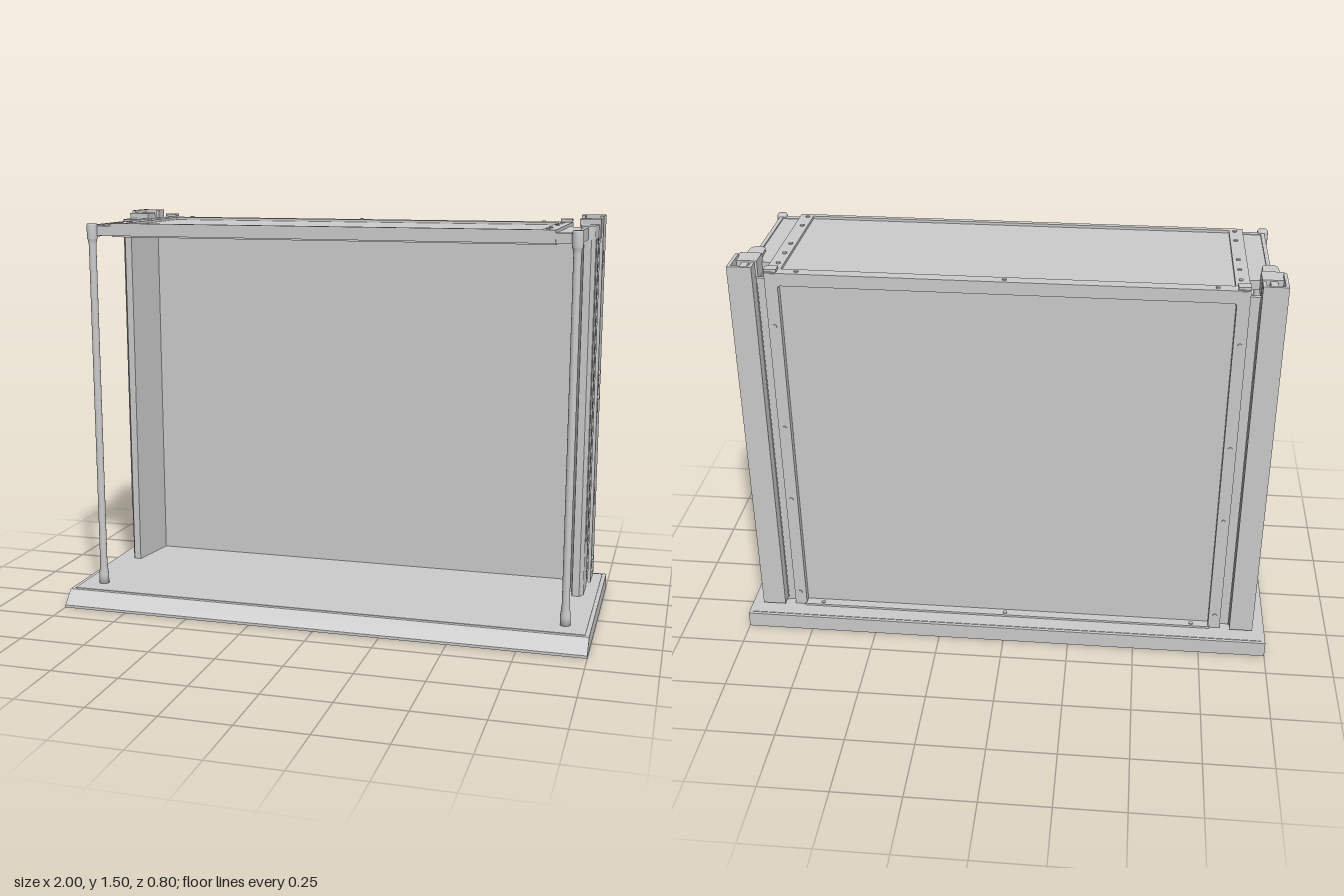
import * as THREE from 'three';

const mat = new THREE.MeshStandardMaterial({ color: 0xcccccc, side: THREE.DoubleSide });

function add(parent, name, geometry) {
  const mesh = new THREE.Mesh(geometry, mat);
  mesh.name = name;
  parent.add(mesh);
  return mesh;
}

// Box given by its minimum and maximum corners
function box(parent, name, x0, x1, y0, y1, z0, z1) {
  const mesh = add(parent, name, new THREE.BoxGeometry(x1 - x0, y1 - y0, z1 - z0));
  mesh.position.set((x0 + x1) / 2, (y0 + y1) / 2, (z0 + z1) / 2);
  return mesh;
}

// Upright prism over a plan of [x, z] points
function prism(parent, name, plan, y0, y1) {
  const shape = new THREE.Shape(plan.map(([x, z]) => new THREE.Vector2(x, -z)));
  const geo = new THREE.ExtrudeGeometry(shape, { depth: y1 - y0, bevelEnabled: false });
  geo.rotateX(-Math.PI / 2).translate(0, y0, 0);
  return add(parent, name, geo);
}

// Bolt head or pin whose axis follows x, y or z
function bolt(parent, name, x, y, z, axis, r = 0.008, length = 0.006) {
  const geo = new THREE.CylinderGeometry(r, r, length, 16);
  if (axis === 'x') geo.rotateZ(Math.PI / 2);
  if (axis === 'z') geo.rotateX(Math.PI / 2);
  add(parent, name, geo).position.set(x, y, z);
}

// Everything that stands on one side; built for +x
function buildSide(s) {
  const g = new THREE.Group();
  g.name = s > 0 ? 'leftSide' : 'rightSide';
  const X = (plan) => plan.map(([x, z]) => [x * s, z]);
  const b = (name, x0, x1, ...rest) =>
    box(g, name, Math.min(x0 * s, x1 * s), Math.max(x0 * s, x1 * s), ...rest);

  // Tapering side wall with a narrow front edge
  prism(g, 'sideWall', X([[0.895, -0.08], [0.922, -0.08], [0.936, -0.105], [0.936, -0.225],
    [0.875, -0.225], [0.875, -0.3], [0.862, -0.3]]), 0.06, 1.42);
  b('wallInsert', 0.93, 0.939, 0.27, 1.42, -0.182, -0.106);

  // Wall cap with a rounded nose
  const cap = new THREE.Shape();
  cap.moveTo(0.875 * s, 0.2);
  cap.lineTo(0.94 * s, 0.2);
  cap.lineTo(0.935 * s, 0.1);
  cap.quadraticCurveTo(0.93 * s, 0.08, 0.905 * s, 0.08);
  cap.quadraticCurveTo(0.885 * s, 0.08, 0.88 * s, 0.1);
  const capGeo = new THREE.ExtrudeGeometry(cap, { depth: 0.05, bevelEnabled: false, curveSegments: 8 });
  add(g, 'wallCap', capGeo.rotateX(-Math.PI / 2).translate(0, 1.42, 0));

  // Hollow rear channel, open on the inner front corner
  prism(g, 'rearChannel', X([[0.865, -0.345], [0.952, -0.345], [0.952, -0.225], [0.94, -0.225],
    [0.94, -0.333], [0.877, -0.333], [0.877, -0.295], [0.865, -0.295]]), 0.075, 1.5);
  b('slider', 0.885, 0.93, 0.06, 1.45, -0.32, -0.22);
  b('sliderBlock', 0.868, 0.946, 1.42, 1.49, -0.262, -0.188);
  b('sliderPin', 0.895, 0.92, 1.45, 1.485, -0.31, -0.26);

  // Groups of three holes on the channel, some fitted with pins
  [1.335, 0.88, 0.785, 0.42, 0.145].forEach((y, i) => {
    [0.025, 0, -0.025].forEach((dy, j) => {
      const pinned = (i === 1 && j === 0) || (i === 2 && j === 0) || (i === 4 && j !== 1);
      bolt(g, 'channelPin', 0.952 * s, y + dy, -0.25, 'x', 0.01, pinned ? 0.014 : 0.003);
    });
  });

  // Front post: foot, rod and head in one turned profile
  const profile = [[0, 0.06], [0.019, 0.06], [0.019, 0.095], [0.014, 0.14], [0.014, 1.39],
    [0.017, 1.41], [0.02, 1.415], [0.02, 1.465], [0.016, 1.472], [0, 1.472]];
  add(g, 'frontPost', new THREE.LatheGeometry(profile.map(([x, y]) => new THREE.Vector2(x, y)), 24))
    .position.set(0.905 * s, 0, 0.248);

  // Top wing, bolted strip and end rail
  b('topWing', 0.83, 0.908, 1.425, 1.46, -0.2, 0.245);
  b('topRail', 0.896, 0.91, 1.42, 1.465, -0.1, 0.24);
  b('topStrip', 0.78, 0.83, 1.42, 1.472, -0.32, 0.235);
  for (const z of [-0.23, -0.14, -0.05, 0.13, 0.22]) bolt(g, 'topBolt', 0.8 * s, 1.473, z, 'y');
  b('stripLip', 0.787, 0.83, 1.47, 1.49, -0.32, -0.285).scale.y = 0.5;

  // Bolted strip on the back
  b('backStrip', 0.785, 0.83, 0.06, 1.47, -0.322, -0.28);
  for (const y of [1.27, 0.86, 0.55, 0.12]) bolt(g, 'backBolt', 0.808 * s, y, -0.323, 'z');
  return g;
}

export function createModel() {
  const model = new THREE.Group();
  model.name = 'cabinet';

  // Base with a bevelled front edge, drawn as a z-y section and swept along x
  const section = new THREE.Shape([[0.4, 0], [0.4, 0.01], [0.35, 0.06], [-0.4, 0.06], [-0.4, 0]]
    .map(([z, y]) => new THREE.Vector2(-z, y)));
  const base = new THREE.ExtrudeGeometry(section, { depth: 2, bevelEnabled: false });
  add(model, 'base', base.rotateY(Math.PI / 2).translate(-1, 0, 0));
  box(model, 'baseSheet', -0.985, 0.985, 0.058, 0.062, -0.388, 0.335);

  // Back panel, recessed behind its frame
  box(model, 'backPanel', -0.868, 0.868, 0.06, 1.44, -0.295, -0.28);
  box(model, 'backTopRail', -0.79, 0.79, 1.425, 1.472, -0.322, -0.28);
  box(model, 'backBottomFlange', -0.79, 0.79, 0.06, 0.07, -0.33, -0.29);
  for (const x of [-0.72, 0, 0.72]) {
    bolt(model, 'railBolt', x, 1.473, -0.302, 'y');
    bolt(model, 'flangeBolt', x, 0.071, -0.315, 'y');
  }

  // Top sheet and rounded front lip
  box(model, 'topSheet', -0.785, 0.785, 1.42, 1.462, -0.29, 0.235);
  box(model, 'frontLip', -0.83, 0.83, 1.428, 1.472, 0.23, 0.25);
  box(model, 'frontRail', -0.9, 0.9, 1.425, 1.462, 0.225, 0.247);

  model.add(buildSide(1), buildSide(-1));
  return model;
}
